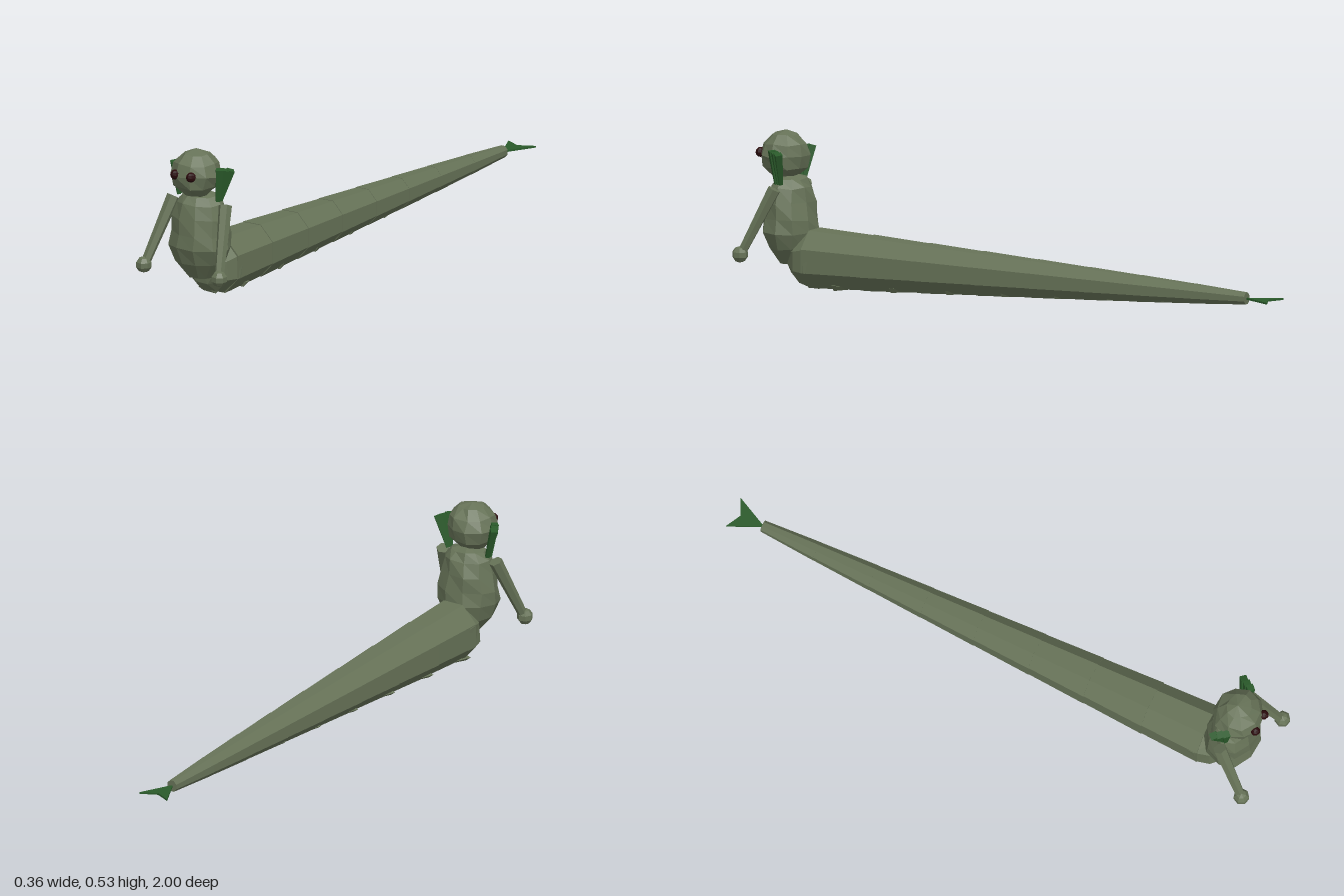
import * as THREE from 'three';

const skin = new THREE.MeshStandardMaterial({ color: 0x667257, flatShading: true });
skin.name = 'olive skin';
const finGreen = new THREE.MeshStandardMaterial({ color: 0x2a5a2a, flatShading: true, side: THREE.DoubleSide });
finGreen.name = 'dark green fin';
const eyeRed = new THREE.MeshStandardMaterial({ color: 0x2a0a0c, flatShading: true });
eyeRed.name = 'dark red eye';

function add(parent, name, geometry, material, x = 0, y = 0, z = 0) {
  const mesh = new THREE.Mesh(geometry, material);
  mesh.name = name;
  mesh.position.set(x, y, z);
  parent.add(mesh);
  return mesh;
}

const lathe = (points, sides, start = 0) =>
  new THREE.LatheGeometry(points.map(([r, y]) => new THREE.Vector2(r, y)), sides, start);

// Nudges vertices by a rule of their position, so shared corners stay together
function roughen(geometry, amount) {
  const p = geometry.attributes.position;
  for (let i = 0; i < p.count; i++) {
    const [x, y, z] = [p.getX(i), p.getY(i), p.getZ(i)];
    p.setXYZ(i,
      x + amount * Math.sin(x * 91 + y * 57 + z * 33),
      y + amount * Math.sin(x * 47 + y * 83 + z * 71 + 1),
      z + amount * Math.sin(x * 63 + y * 39 + z * 97 + 2));
  }
  geometry.computeVertexNormals();
  return geometry;
}

// Tapered prism between two points
function limb(parent, name, from, to, r0, r1, sides, material) {
  const a = new THREE.Vector3(...from), b = new THREE.Vector3(...to);
  const dir = b.clone().sub(a);
  const mesh = add(parent, name, new THREE.CylinderGeometry(r1, r0, dir.length(), sides), material);
  mesh.position.copy(a).add(b).multiplyScalar(0.5);
  mesh.quaternion.setFromUnitVectors(new THREE.Vector3(0, 1, 0), dir.normalize());
  return mesh;
}

export function createModel() {
  const model = new THREE.Group();
  model.name = 'serpentCreature';

  // Tail: overlapping eight-sided segments tapering to the back
  const tail = new THREE.Group();
  tail.name = 'tail';
  model.add(tail);
  const joints = [0.77, 0.56, 0.34, 0.13, -0.08, -0.28, -0.48, -0.69, -0.89];
  const radius = z => 0.021 + 0.084 * Math.pow((z + 0.89) / 1.66, 0.88);
  for (let i = 0; i < joints.length - 1; i++) {
    const z0 = joints[i], z1 = joints[i + 1], len = z0 - z1;
    const lip = i ? 1.025 : 1;
    const segment = lathe([[0, -0.004], [radius(z0) * lip, -0.004], [radius(z1), len], [0, len]], 8, Math.PI / 8);
    segment.rotateX(-Math.PI / 2);
    segment.scale(0.95, 1, 1);
    add(tail, 'tailSegment', segment, skin, 0, 0.108, z0);

    // Jagged belly scales
    for (let k = 0; k < 2; k++) {
      const z = z0 - len * (0.25 + k * 0.5), r = radius(z);
      const scale = new THREE.ConeGeometry(r * 0.42, 0.13, 5);
      scale.rotateX(-Math.PI / 2 + 0.12);
      scale.scale(1, 0.3, 1);
      add(tail, 'bellyScale', roughen(scale, 0.003), skin, (k - 0.5) * r * 0.4, 0.114 - r * 0.92, z);
    }
  }
  // Rounded front of the tail
  const rump = lathe([[0, -0.1], [0.05, -0.088], [0.086, -0.05], [0.104, 0], [0.1, 0.03]], 8, Math.PI / 8);
  rump.rotateX(-Math.PI / 2);
  rump.scale(0.97, 1, 1);
  add(tail, 'rump', roughen(rump, 0.003), skin, 0, 0.105, 0.765);

  // Flat forked tail fin
  const fork = new THREE.Shape([[0, -0.885], [0.056, -1], [0, -0.972], [-0.056, -1]]
    .map(([x, z]) => new THREE.Vector2(x, -z)));
  const forkGeometry = new THREE.ExtrudeGeometry(fork, { depth: 0.006, bevelEnabled: false });
  forkGeometry.rotateX(-Math.PI / 2);
  add(tail, 'tailFin', forkGeometry, finGreen, 0, 0.104, 0);

  // Torso
  const torso = lathe([[0, 0.076], [0.045, 0.088], [0.09, 0.14], [0.111, 0.195], [0.107, 0.24],
    [0.099, 0.295], [0.084, 0.345], [0.06, 0.372], [0, 0.388]], 10, Math.PI / 10);
  torso.scale(1, 1, 0.82);
  add(model, 'torso', roughen(torso, 0.003), skin, 0, 0, 0.863);

  // Head
  const head = new THREE.SphereGeometry(0.088, 10, 6);
  head.scale(1, 0.92, 0.97);
  add(model, 'head', roughen(head, 0.003), skin, 0, 0.449, 0.886);

  for (const side of [1, -1]) {
    const tag = side > 0 ? 'left' : 'right';
    add(model, tag + 'Eye', new THREE.SphereGeometry(0.017, 8, 6), eyeRed, side * 0.032, 0.455, 0.963);

    // Arm and hand
    limb(model, tag + 'Arm', [side * 0.106, 0.347, 0.868], [side * 0.15, 0.135, 0.965], 0.023, 0.016, 6, skin);
    const hand = new THREE.SphereGeometry(0.028, 7, 5);
    add(model, tag + 'Hand', hand, skin, side * 0.154, 0.125, 0.972);

    // Gill frill: three blades fanning upward from the neck
    const frill = new THREE.Group();
    frill.name = tag + 'Gill';
    model.add(frill);
    for (let i = 0; i < 3; i++) {
      limb(frill, 'gillBlade', [side * 0.079, 0.36, 0.874 - i * 0.008],
        [side * (0.092 + i * 0.011), 0.474 - i * 0.003, 0.884 - i * 0.018], 0.009, 0.017, 4, finGreen);
    }
  }
  return model;
}
